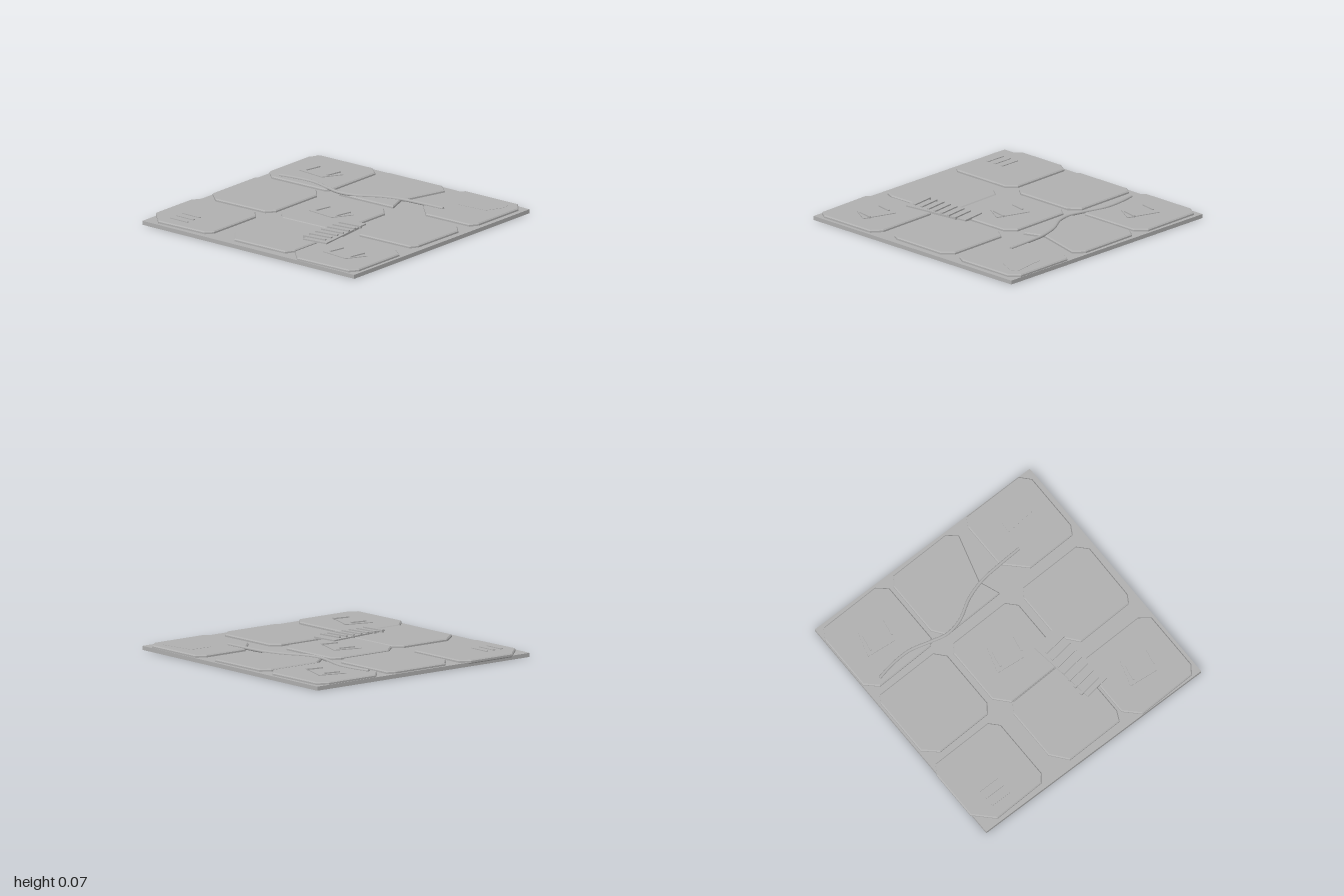
import * as THREE from 'three';

const stone = new THREE.MeshStandardMaterial({ color: 0xb0b0b0 });
stone.name = 'grey stone';

const TILE_TOP = 0.05;

// Outlines of the nine slabs as [x, z] corners
const SLABS = [
  [[-.93, -.96], [-.45, -.97], [-.37, -.9], [-.37, -.41], [-.41, -.37], [-.89, -.355], [-.98, -.44], [-.98, -.88]],
  [[-.29, -.96], [.2, -.97], [.275, -.905], [.17, -.535], [.23, -.375], [-.265, -.36], [-.34, -.46], [-.34, -.89]],
  [[.405, -.985], [.89, -.99], [.957, -.915], [.957, -.465], [.92, -.4], [.525, -.39], [.365, -.55], [.365, -.915]],
  [[-.935, -.305], [-.435, -.315], [-.365, -.235], [-.365, .23], [-.415, .295], [-.865, .31], [-.97, .215], [-.97, -.25]],
  [[-.275, -.285], [.21, -.295], [.28, -.22], [.28, .25], [.235, .315], [-.225, .33], [-.32, .225], [-.32, -.22]],
  [[.385, -.305], [.88, -.315], [.95, -.24], [.945, .205], [.91, .265], [.455, .28], [.34, .14], [.34, -.235]],
  [[-.95, .36], [-.46, .35], [-.395, .42], [-.395, .895], [-.44, .95], [-.86, .965], [-.997, .825], [-.997, .435]],
  [[-.22, .335], [.245, .32], [.33, .39], [.33, .855], [.295, .93], [-.17, .94], [-.27, .815], [-.27, .41]],
  [[.39, .4], [.89, .39], [.97, .45], [.97, .91], [.925, .975], [.46, .99], [.35, .88], [.35, .45]],
];

// Flat prism over an [x, z] outline, from y0 to y1, with an optional bevel
function prism(name, outline, y0, y1, bevel = 0) {
  const shape = new THREE.Shape(outline.map(([x, z]) => new THREE.Vector2(x, -z)));
  const geometry = new THREE.ExtrudeGeometry(shape, {
    depth: y1 - y0 - 2 * bevel,
    bevelEnabled: bevel > 0,
    bevelSize: bevel,
    bevelOffset: -bevel,
    bevelThickness: bevel,
    bevelSegments: 1,
  });
  geometry.rotateX(-Math.PI / 2).translate(0, y0 + bevel, 0);
  const mesh = new THREE.Mesh(geometry, stone);
  mesh.name = name;
  return mesh;
}

// Box given by its centre on the ground plan and its bottom and top heights
function block(name, w, d, x, z, y0, y1, turn = 0) {
  const mesh = new THREE.Mesh(new THREE.BoxGeometry(w, y1 - y0, d), stone);
  mesh.position.set(x, (y0 + y1) / 2, z);
  mesh.rotation.y = turn;
  mesh.name = name;
  return mesh;
}

// Tilted hatch plate with two raised ridges
function hatch(x, z) {
  const group = new THREE.Group();
  group.name = 'hatch';
  group.add(prism('hatchPlate', [[-.087, -.13], [.165, -.045], [.08, .1], [-.15, .077]], 0.045, 0.056));
  for (const rx of [-0.09, 0.104]) {
    group.add(block('hatchRidge', 0.014, 0.125, rx, -0.008, 0.05, 0.065, -0.19));
  }
  group.position.set(x, 0, z);
  return group;
}

export function createModel() {
  const model = new THREE.Group();
  model.name = 'floorPanel';

  // Base and slabs
  model.add(block('base', 1.98, 1.985, 0.005, 0, 0, 0.03));
  SLABS.forEach((outline) => model.add(prism('slab', outline, 0.02, TILE_TOP, 0.008)));

  // Hatches along the diagonal
  for (const [x, z] of [[-.67, -.66], [-.017, .02], [.67, .695]]) model.add(hatch(x, z));

  // Thin patch on the back left slab
  model.add(prism('patch', [[.57, -.7], [.58, -.88], [.85, -.92], [.88, -.87], [.81, -.72]], 0.045, 0.052));

  // Three vent bars on the front right slab
  for (let i = 0; i < 3; i++) model.add(block('ventBar', 0.16, 0.02, -0.75, 0.72 + i * 0.07, 0.045, 0.056));

  // Winding cable
  const path = [[-.855, -.405], [-.72, -.43], [-.56, -.435], [-.4, -.395], [-.265, -.365], [-.13, -.39],
    [.03, -.48], [.19, -.53], [.35, -.545], [.55, -.555]];
  const curve = new THREE.CatmullRomCurve3(path.map(([x, z]) => new THREE.Vector3(x, 0.053, z)));
  const cable = new THREE.Mesh(new THREE.TubeGeometry(curve, 60, 0.012, 8), stone);
  cable.name = 'cable';
  model.add(cable);

  // Cable end caps
  for (const [t, turn] of [[0, -Math.PI / 2], [1, Math.PI / 2]]) {
    const cap = new THREE.Mesh(new THREE.CircleGeometry(0.012, 8), stone);
    cap.position.copy(curve.getPoint(t));
    cap.rotation.y = turn;
    cap.name = 'cableEnd';
    model.add(cap);
  }

  // Grating with seven rungs, bridging the gap between slabs
  const turn = 0.131;
  model.add(block('gratingPlate', 0.2, 0.535, 0.293, 0.365, 0.045, 0.06, turn));
  for (let i = 0; i < 7; i++) {
    model.add(block('gratingRung', 0.186, 0.02, 0.29, 0.183 + i * 0.067, 0.05, 0.07, turn));
  }

  return model;
}
